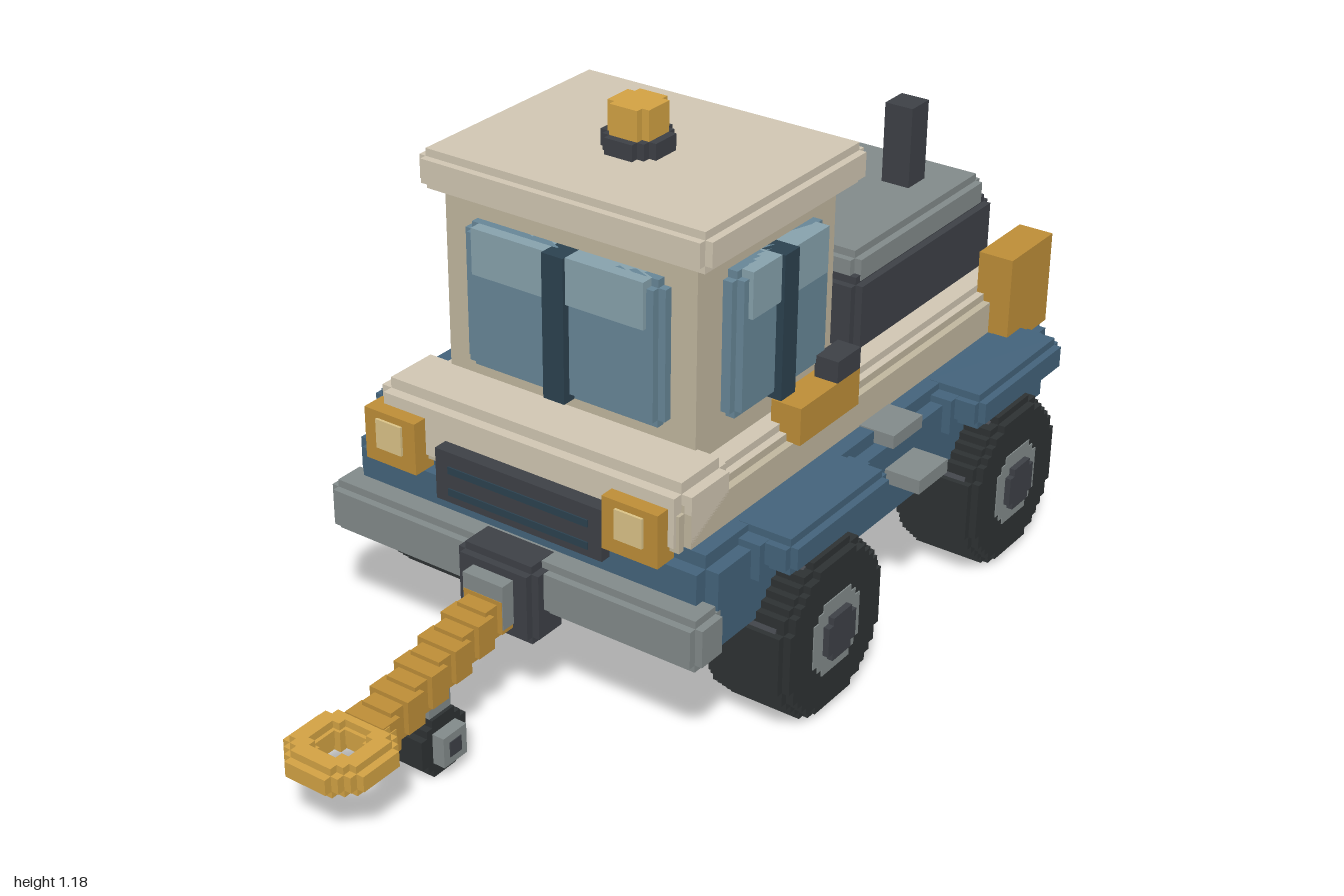
import * as THREE from 'three';
import { mergeGeometries } from 'three/addons/utils/BufferGeometryUtils.js';

const S = 0.0167; // size of one small step
const C = {
  blue: 0x44647c, cream: 0xd2c8b4, tan: 0xc2b8a0, dark: 0x3e4147, grey: 0x838b8b,
  amber: 0xbf8f38, yellow: 0xd4a344, lens: 0xdcc488, glass: 0x688798, shine: 0x88a3ae,
  navy: 0x2c4250, tyre: 0x2e3233, tread: 0x43464c,
};

function mesh(parent, name, color, geometry) {
  const m = new THREE.Mesh(geometry, new THREE.MeshStandardMaterial({ color, flatShading: true }));
  m.name = name;
  parent.add(m);
  return m;
}

// Box between two corners
function boxGeo(x0, x1, y0, y1, z0, z1) {
  return new THREE.BoxGeometry(x1 - x0, y1 - y0, z1 - z0)
    .translate((x0 + x1) / 2, (y0 + y1) / 2, (z0 + z1) / 2);
}
const box = (g, name, color, ...b) => mesh(g, name, color, boxGeo(...b));

// Box whose edges are notched by one step
function notched(g, name, color, x0, x1, y0, y1, z0, z1, s = S) {
  const parts = [[0, s, s], [s, 0, s], [s, s, 0]].map(([a, b, c]) =>
    boxGeo(x0 + a, x1 - a, y0 + b, y1 - b, z0 + c, z1 - c));
  return mesh(g, name, color, mergeGeometries(parts));
}

// Outline of a circle made of square steps
function steppedCircle(r, PathType = THREE.Shape) {
  const n = Math.max(2, Math.round(r / S)), s = r / n, quarter = [];
  for (let i = 0; i < n; i++) {
    const w = Math.min(n, Math.round(Math.sqrt((n + 0.2) ** 2 - (i + 0.5) ** 2))) * s;
    quarter.push([w, i * s], [w, (i + 1) * s]);
  }
  const pts = [];
  for (let q = 0; q < 4; q++) {
    for (const [x, y] of quarter) {
      const p = [[x, y], [-y, x], [-x, -y], [y, -x]][q];
      const last = pts[pts.length - 1];
      if (!last || Math.hypot(last.x - p[0], last.y - p[1]) > 1e-5) pts.push(new THREE.Vector2(...p));
    }
  }
  return new PathType(pts);
}

// Stepped disc along an axis, centred on a position
function disc(g, name, color, r, length, axis, pos, hole = 0) {
  const shape = steppedCircle(r);
  if (hole) shape.holes.push(steppedCircle(hole, THREE.Path));
  const geo = new THREE.ExtrudeGeometry(shape, { depth: length, bevelEnabled: false })
    .translate(0, 0, -length / 2);
  if (axis === 'x') geo.rotateY(Math.PI / 2);
  if (axis === 'y') geo.rotateX(Math.PI / 2);
  return mesh(g, name, color, geo.translate(...pos));
}

function group(parent, name) {
  const g = new THREE.Group();
  g.name = name;
  parent.add(g);
  return g;
}

function addWheel(parent, side, z) {
  const g = group(parent, 'wheel');
  const x = side * 0.433, y = 0.183;
  disc(g, 'tyre', C.tyre, 0.183, 0.165, 'x', [x, y, z]);
  disc(g, 'tyreSidewall', C.tyre, 0.167, 0.198, 'x', [x, y, z]);
  disc(g, 'rim', C.grey, 0.084, 0.203, 'x', [x, y, z]);
  disc(g, 'hubCap', C.dark, 0.05, 0.23, 'x', [x, y, z]);
  // tread pads around the tyre
  for (let i = 0; i < 8; i++) {
    const pad = box(g, 'treadPad', C.tread, -0.065, 0.065, 0.165, 0.183, -0.022, 0.022);
    pad.position.set(x, y, z);
    pad.rotation.x = (i + 0.5) * Math.PI / 4;
  }
}

export function createModel() {
  const root = new THREE.Group();
  root.name = 'towTractor';

  // Chassis and fenders
  const body = group(root, 'body');
  notched(body, 'chassis', C.blue, -0.45, 0.45, 0.237, 0.465, -1, 0.35, 0.03);
  for (const s of [-1, 1]) {
    for (const z of [-0.715, 0.01]) {
      const [a, b] = s < 0 ? [-0.535, -0.38] : [0.38, 0.535];
      notched(body, 'fender', C.blue, a, b, 0.385, 0.466, z - 0.183, z + 0.183);
      const [c, d] = s < 0 ? [-0.47, -0.38] : [0.38, 0.47];
      box(body, 'fenderRoot', C.blue, c, d, 0.37, 0.45, z - 0.2, z + 0.2);
    }
  }

  // Deck and hood
  notched(body, 'deckSide', C.tan, -0.385, 0.385, 0.44, 0.555, -0.95, 0.335);
  notched(body, 'deckTop', C.cream, -0.368, 0.368, 0.53, 0.572, -0.935, 0.33);
  notched(body, 'hood', C.cream, -0.385, 0.385, 0.445, 0.602, 0.17, 0.342, 0.024);

  // Cab and roof
  const cab = group(root, 'cab');
  box(cab, 'cabWalls', C.tan, -0.3, 0.31, 0.55, 1.01, -0.277, 0.2);
  notched(cab, 'roof', C.cream, -0.335, 0.365, 1.0, 1.085, -0.312, 0.25);

  // Front window
  notched(cab, 'frontGlass', C.glass, -0.235, 0.25, 0.635, 0.95, 0.18, 0.235);
  box(cab, 'frontMullion', C.navy, -0.02, 0.032, 0.635, 0.95, 0.2, 0.252);
  box(cab, 'frontShine', C.shine, -0.2, -0.02, 0.85, 0.95, 0.2, 0.245);
  box(cab, 'frontShine', C.shine, 0.032, 0.217, 0.85, 0.95, 0.2, 0.245);

  // Side window, on the left only
  notched(cab, 'sideGlass', C.glass, 0.29, 0.348, 0.635, 0.95, -0.212, 0.117);
  box(cab, 'sideMullion', C.navy, 0.31, 0.365, 0.635, 0.95, -0.063, -0.013);
  box(cab, 'sideShine', C.shine, 0.31, 0.358, 0.85, 0.95, -0.18, -0.063);
  box(cab, 'sideShine', C.shine, 0.31, 0.358, 0.85, 0.95, -0.013, 0.085);

  // Beacon
  disc(cab, 'beaconBase', C.dark, 0.067, 0.036, 'y', [0.015, 1.102, -0.015]);
  disc(cab, 'beacon', C.yellow, 0.05, 0.07, 'y', [0.015, 1.15, -0.015]);

  // Engine cover and exhaust
  const engine = group(root, 'engine');
  notched(engine, 'engineBox', C.dark, -0.3, 0.31, 0.56, 0.735, -0.948, -0.38);
  notched(engine, 'engineLid', C.grey, -0.285, 0.295, 0.705, 0.786, -0.932, -0.397);
  box(engine, 'exhaust', C.dark, 0.132, 0.2, 0.77, 0.97, -0.825, -0.757);

  // Side box, latch and steps on the left
  const fittings = group(root, 'fittings');
  box(fittings, 'sideBox', C.amber, 0.33, 0.4, 0.537, 0.62, -0.25, -0.032);
  box(fittings, 'latch', C.dark, 0.345, 0.4, 0.62, 0.668, -0.25, -0.165);
  box(fittings, 'upperStep', C.grey, 0.375, 0.467, 0.438, 0.468, -0.4, -0.285);
  box(fittings, 'lowerStep', C.grey, 0.42, 0.533, 0.353, 0.385, -0.4, -0.285);

  // Rear corner lamps and headlamps
  for (const x of [-0.395, 0.392]) {
    box(fittings, 'rearLamp', C.amber, x - 0.041, x + 0.041, 0.438, 0.652, -1.0005, -0.82);
  }
  for (const x of [-0.319, 0.281]) {
    box(fittings, 'headlamp', C.amber, x - 0.066, x + 0.066, 0.435, 0.552, 0.32, 0.375);
    box(fittings, 'headlampLens', C.lens, x - 0.033, x + 0.033, 0.47, 0.536, 0.36, 0.381);
  }

  // Grille
  box(fittings, 'grille', C.dark, -0.2, 0.215, 0.403, 0.518, 0.32, 0.375);
  for (const y of [0.428, 0.478]) {
    box(fittings, 'grilleSlot', C.navy, -0.167, 0.182, y - 0.008, y + 0.008, 0.36, 0.378);
  }

  // Bumper and hitch
  const hitch = group(root, 'hitch');
  notched(hitch, 'bumper', C.grey, -0.467, 0.467, 0.253, 0.368, 0.312, 0.412);
  notched(hitch, 'hitchBlock', C.dark, -0.1, 0.1, 0.19, 0.369, 0.34, 0.445);
  box(hitch, 'hitchSocket', C.grey, -0.05, 0.05, 0.235, 0.335, 0.43, 0.478);

  // Tow bar stepping down to the ring
  const count = 11;
  for (let i = 0; i < count; i++) {
    const t = i / (count - 1), z = 0.455 + 0.355 * t, y = 0.262 - 0.095 * t;
    const w = i % 2 ? 0.036 : 0.048;
    box(hitch, 'towBar', C.amber, -w, w, y - 0.037, y + 0.037, z - 0.024, z + 0.024);
  }
  disc(hitch, 'towRing', C.yellow, 0.1, 0.034, 'y', [0, 0.168, 0.9], 0.042);
  disc(hitch, 'towRingCore', C.yellow, 0.083, 0.066, 'y', [0, 0.168, 0.9], 0.05);

  // Jockey wheel under the tow bar
  box(hitch, 'jockeyStrut', C.grey, -0.03, 0.03, 0.11, 0.2, 0.62, 0.684);
  disc(hitch, 'jockeyTyre', C.tyre, 0.066, 0.075, 'x', [0, 0.066, 0.652]);
  disc(hitch, 'jockeyHub', C.grey, 0.034, 0.132, 'x', [0, 0.068, 0.652]);
  disc(hitch, 'jockeyAxle', C.dark, 0.017, 0.136, 'x', [0, 0.068, 0.652]);

  // Wheels
  for (const side of [-1, 1]) for (const z of [0.02, -0.715]) addWheel(root, side, z);

  return root;
}
